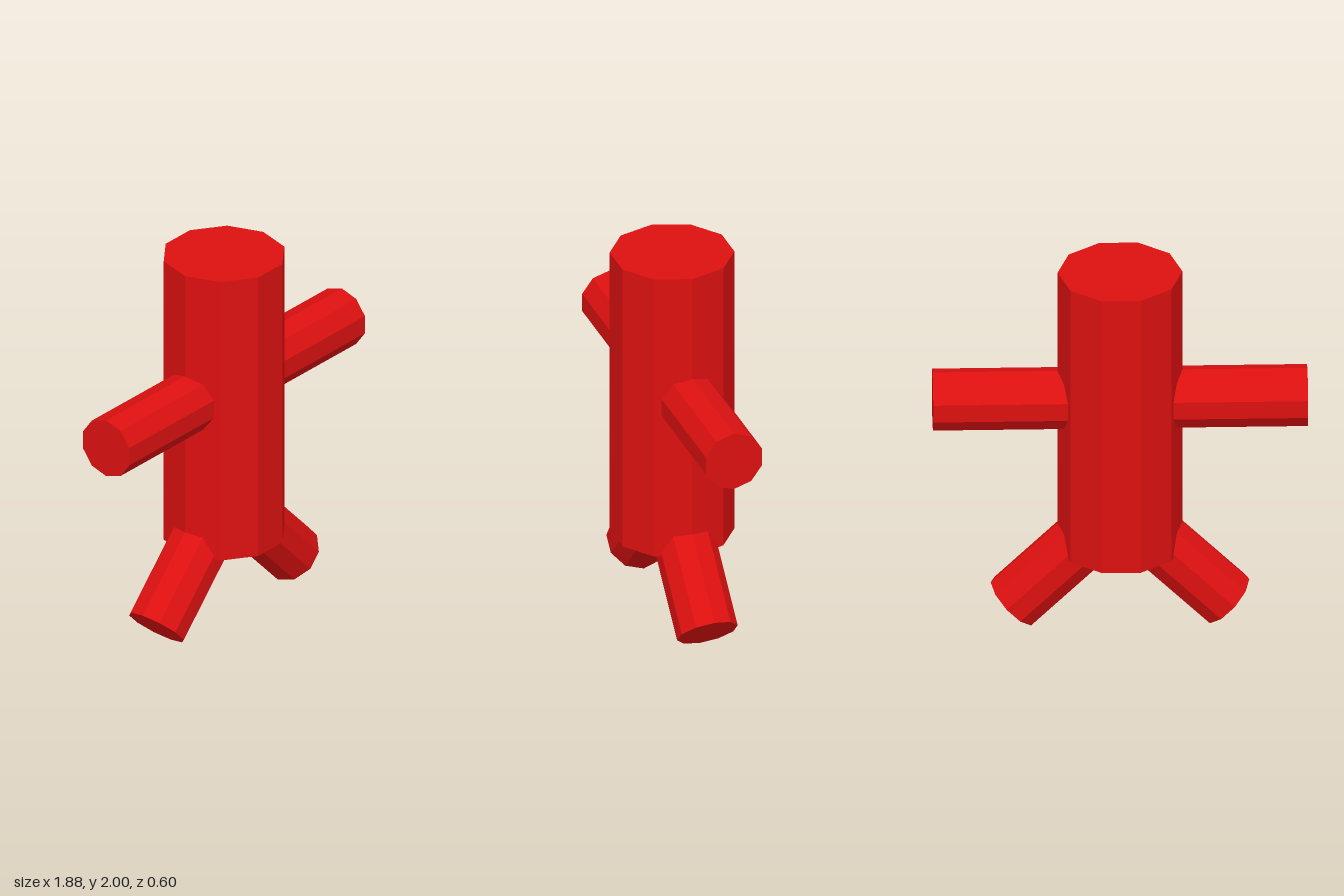
import * as THREE from 'three';

const SIDES = 10;

export function createModel() {
  const model = new THREE.Group();
  model.name = 'figure';
  const material = new THREE.MeshStandardMaterial({ color: 0xdd1010, flatShading: true });

  // Ten-sided rod along y, with a corner edge on its +x and -x sides
  const rod = (name, radius, length) => {
    const geometry = new THREE.CylinderGeometry(radius, radius, length, SIDES, 1, false, Math.PI / 2);
    const mesh = new THREE.Mesh(geometry, material);
    mesh.name = name;
    model.add(mesh);
    return mesh;
  };

  // Upright trunk
  const bottom = 0.434, top = 2, radius = 0.313;
  rod('body', radius, top - bottom).position.y = (top + bottom) / 2;

  // Arms and legs, mirrored left and right
  const limbRadius = radius / 2;
  const armReach = 0.94, legReach = 0.538, legRoot = 0.649;
  for (const [side, label] of [[1, 'left'], [-1, 'right']]) {
    const arm = rod(label + 'Arm', limbRadius, armReach);
    arm.rotation.z = side * Math.PI / 2;
    arm.position.set(side * armReach / 2, 1.278, 0);

    // Leg splayed 45 degrees outward from inside the body
    const leg = rod(label + 'Leg', limbRadius, legReach * Math.SQRT2);
    leg.rotation.z = side * Math.PI / 4;
    leg.position.set(side * legReach / 2, legRoot - legReach / 2, 0);
  }
  return model;
}
